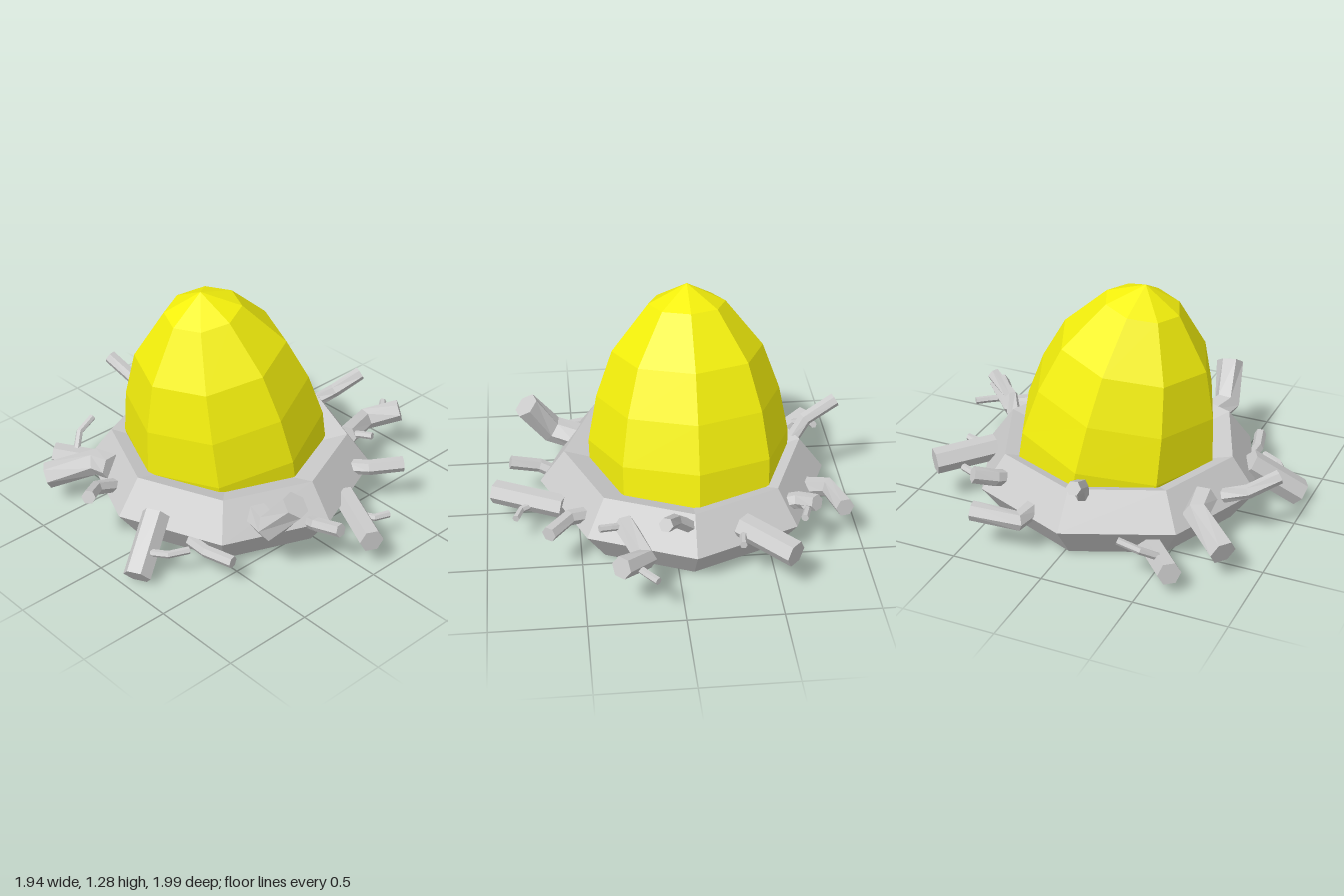
import * as THREE from 'three';

const grey = new THREE.MeshStandardMaterial({ color: 0xcccccc, flatShading: true });
const yellow = new THREE.MeshStandardMaterial({ color: 0xf4f00c, flatShading: true });

// Faceted loft along a list of points, one radius per point, closed at both ends
function loft(points, radii, sides, tip) {
  const path = points.map(p => new THREE.Vector3(...p));
  const last = path.length - 1;
  const up = new THREE.Vector3(0, 1, 0);
  const rings = path.map((p, i) => {
    const t = new THREE.Vector3();
    if (i > 0) t.add(p.clone().sub(path[i - 1]).normalize());
    if (i < last) t.add(path[i + 1].clone().sub(p).normalize());
    t.normalize();
    const u = up.clone().cross(t).normalize();
    const v = t.clone().cross(u);
    return Array.from({ length: sides }, (_, j) => {
      const a = (j / sides) * Math.PI * 2;
      return p.clone()
        .addScaledVector(u, Math.cos(a) * radii[i])
        .addScaledVector(v, Math.sin(a) * radii[i]);
    });
  });
  const corners = [];
  const end = tip ? new THREE.Vector3(...tip) : path[last];
  for (let j = 0; j < sides; j++) {
    const k = (j + 1) % sides;
    for (let i = 0; i < last; i++) {
      const a = rings[i][j], b = rings[i][k], c = rings[i + 1][k], d = rings[i + 1][j];
      corners.push(a, b, c, a, c, d);
    }
    corners.push(path[0], rings[0][k], rings[0][j]);
    corners.push(end, rings[last][j], rings[last][k]);
  }
  const geometry = new THREE.BufferGeometry().setFromPoints(corners);
  geometry.computeVertexNormals();
  return geometry;
}

export function createModel() {
  const model = new THREE.Group();
  const add = (name, geometry, material) => {
    const mesh = new THREE.Mesh(geometry, material);
    mesh.name = name;
    model.add(mesh);
    return mesh;
  };

  // Octagonal nest ring with a five-sided section
  const ring = add('nestRing', new THREE.TorusGeometry(0.585, 0.195, 5, 8).rotateX(Math.PI / 2), grey);
  ring.position.set(-0.08, 0.207, 0.025);

  // Egg leaning toward the front
  add('egg', loft(
    [[-0.115, 0.2, -0.01], [-0.115, 0.45, 0.035], [-0.115, 0.7, 0.08], [-0.115, 0.945, 0.125], [-0.115, 1.195, 0.17]],
    [0.54, 0.545, 0.495, 0.405, 0.205], 8, [-0.115, 1.3, 0.185]), yellow);

  // Sticks: radius, then the points of each path from the ring outward
  const sticks = [
    [0.07, [-0.33, 0.29, -0.6], [-0.57, 0.27, -0.84]],
    [0.038, [-0.05, 0.33, -0.63], [0.03, 0.41, -0.69], [0.09, 0.49, -0.83]],
    [0.06, [0.28, 0.29, -0.53], [0.19, 0.25, -0.78], [0.32, 0.31, -0.92]],
    [0.042, [0.46, 0.25, -0.37], [0.56, 0.27, -0.42], [0.67, 0.28, -0.57]],
    [0.065, [0.58, 0.19, -0.21], [0.95, 0.19, -0.03]],
    [0.037, [0.6, 0.2, 0.1], [0.7, 0.24, 0.125], [0.86, 0.28, 0.11]],
    [0.075, [0.47, 0.28, 0.33], [0.62, 0.31, 0.38], [0.76, 0.5, 0.34]],
    [0.033, [0.3, 0.18, 0.64], [0.42, 0.175, 0.64], [0.58, 0.175, 0.6]],
    [0.075, [0.1, 0.27, 0.7], [0.235, 0.07, 0.95]],
    [0.038, [-0.26, 0.26, 0.69], [-0.25, 0.31, 0.82], [-0.14, 0.37, 0.95]],
    [0.072, [-0.36, 0.29, 0.62], [-0.49, 0.27, 0.63], [-0.66, 0.19, 0.84]],
    [0.062, [-0.6, 0.1, 0.42], [-0.87, 0.14, 0.64]],
    [0.038, [-0.7, 0.36, 0.09], [-0.77, 0.46, 0.12], [-0.94, 0.55, 0.16]],
    [0.052, [-0.7, 0.22, -0.18], [-0.85, 0.22, -0.2], [-0.9, 0.25, -0.44]],
    [0.045, [-0.58, 0.28, -0.4], [-0.65, 0.31, -0.43], [-0.73, 0.35, -0.52]],
  ];
  for (const [radius, ...path] of sticks) add('stick', loft(path, path.map(() => radius), 6), grey);

  // Thin twigs branching off the sticks
  const twigs = [
    [[-0.37, 0.28, -0.65], [-0.32, 0.29, -0.69], [-0.31, 0.3, -0.78]],
    [[0.24, 0.26, -0.85], [0.19, 0.26, -0.92], [0.14, 0.26, -0.98]],
    [[0.27, 0.29, -0.55], [0.35, 0.31, -0.58], [0.41, 0.32, -0.6]],
    [[0.73, 0.18, -0.15], [0.81, 0.18, -0.2], [0.84, 0.18, -0.28]],
    [[0.22, 0.17, 0.86], [0.31, 0.175, 0.8], [0.36, 0.18, 0.7]],
    [[-0.78, 0.16, 0.55], [-0.85, 0.22, 0.47], [-0.87, 0.26, 0.36]],
    [[-0.66, 0.31, -0.45], [-0.68, 0.32, -0.53], [-0.65, 0.33, -0.62]],
  ];
  for (const path of twigs) add('twig', loft(path, path.map(() => 0.02), 6), grey);

  return model;
}
